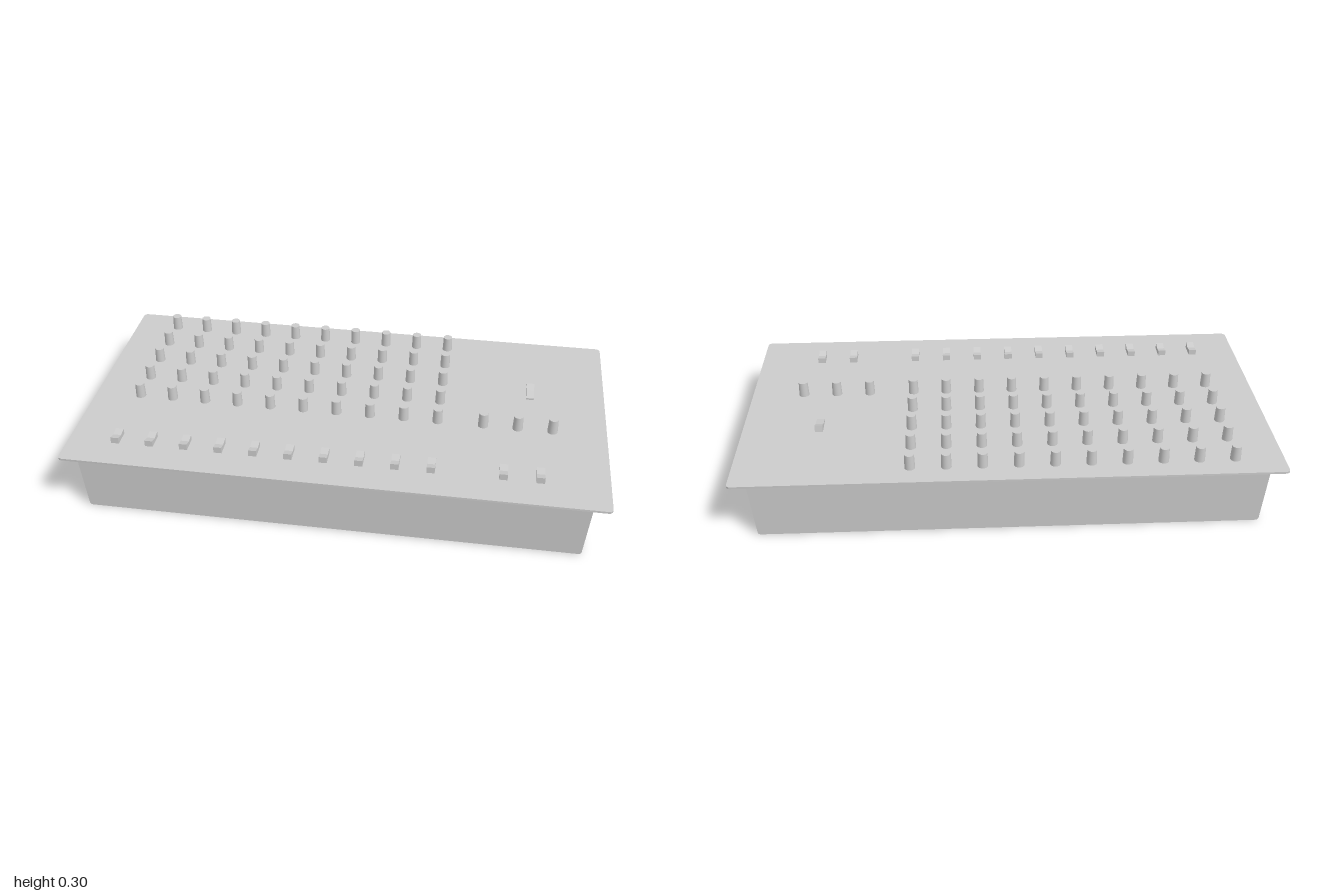
import * as THREE from 'three';
import { toCreasedNormals } from 'three/addons/utils/BufferGeometryUtils.js';

const material = new THREE.MeshStandardMaterial({ color: 0xcccccc });
const PLATE_BOTTOM = 0.234, PLATE_TOP = 0.242;
const PITCH = 0.1311, FIRST_X = -0.82;

function addMesh(parent, name, geometry, x = 0, y = 0, z = 0) {
  const mesh = new THREE.Mesh(geometry, material);
  mesh.name = name;
  mesh.position.set(x, y, z);
  parent.add(mesh);
  return mesh;
}

// Tapered tray: front profile with rounded lower edges, slightly narrower in depth at the base
function bodyGeometry() {
  const s = new THREE.Shape();
  s.moveTo(-0.938, PLATE_BOTTOM);
  s.lineTo(-0.923, 0.012);
  s.quadraticCurveTo(-0.922, 0, -0.91, 0);
  s.lineTo(0.91, 0);
  s.quadraticCurveTo(0.922, 0, 0.923, 0.012);
  s.lineTo(0.938, PLATE_BOTTOM);
  s.closePath();
  const g = new THREE.ExtrudeGeometry(s, { depth: 1, bevelEnabled: false, curveSegments: 6 });
  g.translate(0, 0, -0.5);
  const p = g.attributes.position;
  for (let i = 0; i < p.count; i++) {
    p.setZ(i, p.getZ(i) * (0.98 + 0.014 * p.getY(i) / PLATE_BOTTOM));
  }
  return toCreasedNormals(g, 0.6);
}

// Thin panel with rounded corners
function plateGeometry() {
  const w = 1, d = 0.526, r = 0.016;
  const s = new THREE.Shape();
  s.absarc(w - r, d - r, r, 0, Math.PI / 2);
  s.absarc(-w + r, d - r, r, Math.PI / 2, Math.PI);
  s.absarc(-w + r, -d + r, r, Math.PI, Math.PI * 1.5);
  s.absarc(w - r, -d + r, r, Math.PI * 1.5, Math.PI * 2);
  const g = new THREE.ExtrudeGeometry(s, {
    depth: PLATE_TOP - PLATE_BOTTOM, bevelEnabled: false, curveSegments: 6,
  });
  g.rotateX(-Math.PI / 2);
  return toCreasedNormals(g, 0.6);
}

// Switch cap: side profile of [z, y] points extruded across its width
function switchGeometry(points, width = 0.03) {
  const s = new THREE.Shape(points.map(([z, y]) => new THREE.Vector2(-z, y)));
  const g = new THREE.ExtrudeGeometry(s, { depth: width, bevelEnabled: false });
  g.translate(0, 0, -width / 2);
  return g.rotateY(Math.PI / 2);
}

export function createModel() {
  const model = new THREE.Group();
  model.name = 'controlPanel';
  addMesh(model, 'body', bodyGeometry());
  addMesh(model, 'topPlate', plateGeometry(), 0, PLATE_BOTTOM, 0);

  // Knobs: a 10 by 5 grid and three more at the right
  const knobs = new THREE.Group();
  knobs.name = 'knobs';
  model.add(knobs);
  const knob = new THREE.CylinderGeometry(0.0175, 0.0195, 0.058, 24);
  const addKnob = (x, z) => addMesh(knobs, 'knob', knob, x, PLATE_TOP + 0.029, z);
  for (let row = 0; row < 5; row++) {
    for (let col = 0; col < 10; col++) addKnob(FIRST_X + col * PITCH, -0.435 + row * PITCH);
  }
  for (let i = 0; i < 3; i++) addKnob(0.534 + i * PITCH, 0.09);

  // Rocker switches along the front edge
  const rockers = new THREE.Group();
  rockers.name = 'rockerSwitches';
  model.add(rockers);
  const rocker = switchGeometry([
    [0.032, -0.004], [0.032, 0.025], [0, 0.016], [-0.032, 0.022], [-0.032, -0.004],
  ]);
  const rockerXs = Array.from({ length: 10 }, (_, i) => FIRST_X + i * PITCH).concat(0.62, 0.752);
  for (const x of rockerXs) addMesh(rockers, 'rockerSwitch', rocker, x, PLATE_TOP, 0.375);

  // Single tilted switch at the right rear
  const tilted = switchGeometry([
    [0.04, -0.004], [0.04, 0.007], [-0.004, 0.014], [-0.035, 0.027], [-0.04, -0.004],
  ]);
  addMesh(model, 'powerSwitch', tilted, 0.71, PLATE_TOP, -0.148);
  return model;
}
